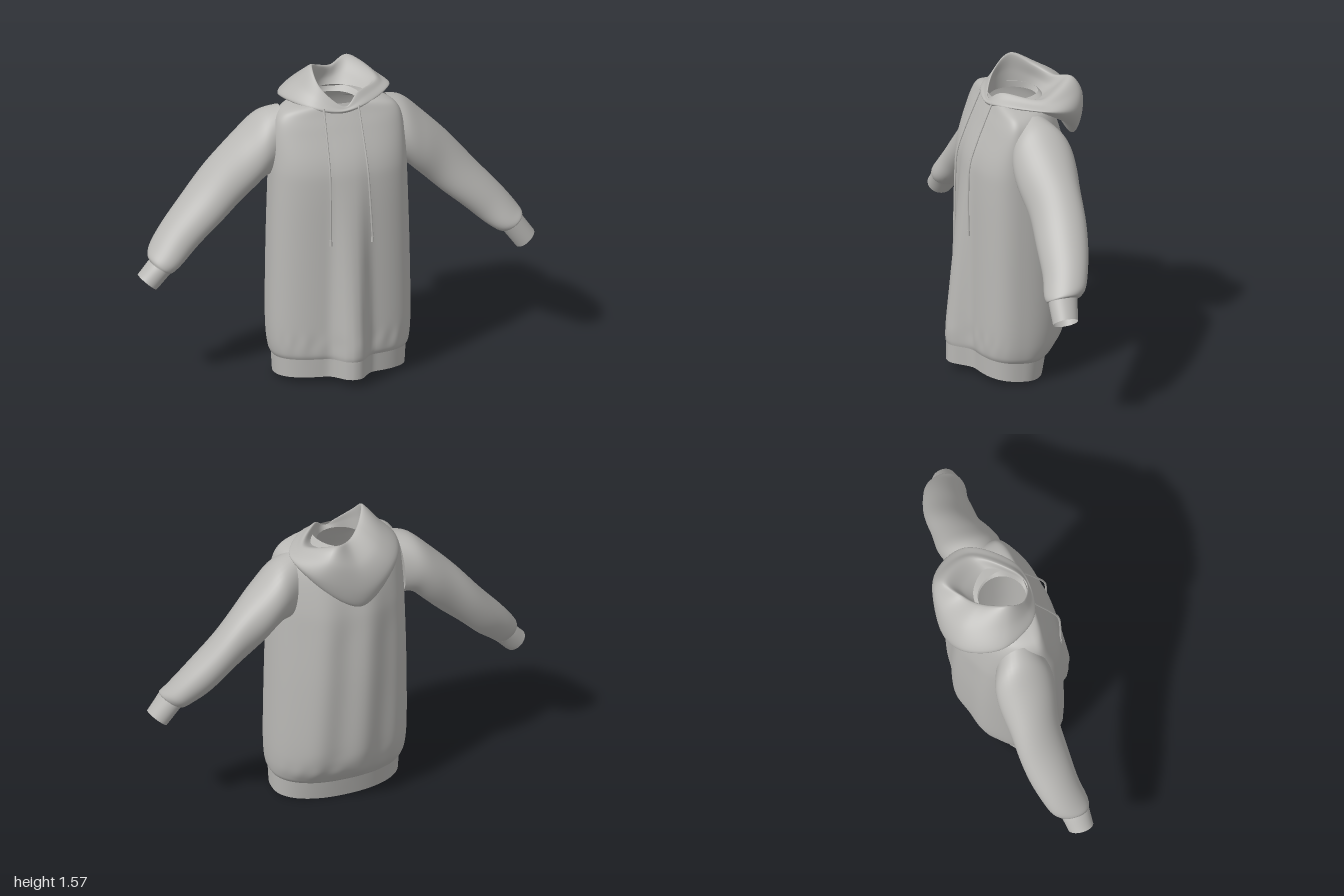
import * as THREE from 'three';

const cloth = new THREE.MeshStandardMaterial({ color: 0xb9b8b5, side: THREE.DoubleSide });
cloth.name = 'grey cloth';

const gauss = (x, s) => Math.exp(-(x * x) / (2 * s * s));
const spow = (v, p) => Math.sign(v) * Math.abs(v) ** p;
const mix = (a, b, t) => a.map((v, i) => v + (b[i] - v) * t);

// Smoothly samples a table of rows; t runs from 0 to 1
function sample(rows, t) {
  const f = t * (rows.length - 1);
  const i = Math.min(Math.floor(f), rows.length - 2);
  const u = f - i;
  const at = k => rows[Math.max(0, Math.min(rows.length - 1, k))];
  return rows[i].map((p1, c) => {
    const p0 = at(i - 1)[c], p2 = at(i + 1)[c], p3 = at(i + 2)[c];
    return p1 + 0.5 * u * (p2 - p0 + u * (2 * p0 - 5 * p1 + 4 * p2 - p3 + u * (3 * (p1 - p2) + p3 - p0)));
  });
}

// Skin over closed rings; point(t, angle) returns [x, y, z]
function loft(name, rows, cols, point) {
  const pos = [], index = [];
  for (let i = 0; i <= rows; i++)
    for (let j = 0; j < cols; j++) pos.push(...point(i / rows, (j / cols) * Math.PI * 2));
  for (let i = 0; i < rows; i++)
    for (let j = 0; j < cols; j++) {
      const a = i * cols + j, b = i * cols + (j + 1) % cols;
      index.push(a, b, b + cols, a, b + cols, a + cols);
    }
  const g = new THREE.BufferGeometry();
  g.setAttribute('position', new THREE.Float32BufferAttribute(pos, 3));
  g.setIndex(index);
  g.computeVertexNormals();
  const mesh = new THREE.Mesh(g, cloth);
  mesh.name = name;
  return mesh;
}

// Body rows: y, half width, side lobe z, centre fold z, back z
const BODY = [
  [0.10, 0.332, 0.24, 0.335, -0.14], [0.13, 0.345, 0.248, 0.34, -0.172],
  [0.21, 0.354, 0.25, 0.338, -0.225], [0.36, 0.356, 0.25, 0.325, -0.255],
  [0.70, 0.35, 0.247, 0.292, -0.268], [1.00, 0.341, 0.24, 0.256, -0.26],
  [1.14, 0.336, 0.222, 0.23, -0.245], [1.29, 0.324, 0.167, 0.17, -0.207],
  [1.365, 0.296, 0.135, 0.138, -0.172], [1.40, 0.235, 0.122, 0.122, -0.15],
  [1.42, 0.125, 0.115, 0.115, -0.13],
];
const HEM = [[0, 0.327, 0.235, 0.335, -0.12], BODY[0]];

function bodyPoint([y, half, lobe, fold, back], a) {
  const s = Math.sin(a), c = Math.cos(a), zc = 0.05;
  const n = c > 0 ? 2 / 2.7 : 2 / 2.2;
  const x = half * spow(s, n);
  let z = zc + (c > 0 ? lobe - zc : zc - back) * spow(c, n);
  // rounded centre fold at the front, soft vertical folds at the back
  if (c > 0) z += (fold - lobe) * Math.exp(-((Math.abs(x - 0.015) / 0.075) ** 3));
  const loose = Math.min(1, Math.max(0, (y - 0.1) / 0.2)) * Math.min(1, Math.max(0, (1.35 - y) / 0.4));
  if (c < 0) z += 0.009 * loose * c * Math.cos(x * 28 + y * 1.5);
  // gathers just above the hem
  z += c * 0.003 * gauss(y - 0.18, 0.035) * Math.sin(a * 20);
  // the hem dips towards the back
  const tilt = 0.045 * ((z + 0.12) / 0.455) * Math.max(0, 1 - y / 0.6);
  return [x + 0.006, y + Math.max(0, tilt), z];
}

// Sleeve rows: top x, top y, underside x, underside y, front z, back z
const SLEEVE = [
  [0.27, 1.385, 0.30, 1.04, 0.09, -0.15], [0.36, 1.352, 0.355, 1.03, 0.11, -0.182],
  [0.46, 1.265, 0.42, 0.97, 0.10, -0.185], [0.58, 1.14, 0.51, 0.89, 0.08, -0.172],
  [0.70, 1.005, 0.61, 0.80, 0.078, -0.155], [0.82, 0.87, 0.71, 0.712, 0.088, -0.13],
  [0.91, 0.76, 0.785, 0.655, 0.107, -0.092], [0.94, 0.718, 0.822, 0.632, 0.11, -0.06],
  [0.936, 0.70, 0.835, 0.635, 0.105, -0.04],
];
const CUFF = [SLEEVE.at(-1), [0.997, 0.613, 0.908, 0.538, 0.104, -0.022]];

// The upper edge of the sleeve leans back by the twist
function sleevePoint([tx, ty, bx, by, zf, zb], a, wrinkle, droop, twist) {
  const c = Math.cos(a) * (1 + wrinkle), s = Math.sin(a) * (1 + wrinkle);
  return [
    (tx + bx) / 2 + c * (tx - bx) / 2,
    (ty + by) / 2 + c * (ty - by) / 2 - droop,
    (zf + zb) / 2 + s * (zf - zb) / 2 - c * twist,
  ];
}

// Hood rings: front, front left, left, back left, back, back right, right, front right
const HOOD_WIDEST = [
  [0, 1.385, 0.14], [0.16, 1.41, 0.10], [0.305, 1.41, -0.09], [0.24, 1.36, -0.27],
  [0.02, 1.27, -0.335], [-0.17, 1.36, -0.28], [-0.25, 1.41, -0.10], [-0.16, 1.41, 0.09],
];
const HOOD_CREST = [
  [0.02, 1.405, 0.125], [0.10, 1.455, 0.075], [0.23, 1.45, -0.09], [0.14, 1.512, -0.255],
  [0.04, 1.492, -0.205], [-0.04, 1.525, -0.135], [-0.105, 1.572, -0.03], [-0.085, 1.49, 0.065],
];

function makeHood() {
  const ring = points => new THREE.CatmullRomCurve3(points.map(p => new THREE.Vector3(...p)), true, 'catmullrom', 0.5);
  const widest = ring(HOOD_WIDEST), crest = ring(HOOD_CREST);
  return loft('hood', 42, 80, (t, a) => {
    const u = a / (Math.PI * 2), s = Math.sin(a), c = Math.cos(a), b = Math.max(0, -c);
    const wide = widest.getPoint(u).toArray(), top = crest.getPoint(u).toArray();
    const neck = [0.118 * s, 1.385, 0.118 * c - 0.011];
    const tuck = [0.175 * s, 1.38 - 0.05 * b, 0.16 * c - 0.045];
    // the underside droops to a tip at the back
    const low = [wide[0] * 0.82, wide[1] - 0.02 - 0.08 * b, wide[2] * 0.88];
    const upper = mix(wide, top, 0.5);
    upper[1] += 0.025 * b;
    upper[2] -= 0.04 * b;
    return sample([tuck, low, wide, upper, top, mix(top, neck, 0.5), neck], t);
  });
}

// Drawstring with a small tip
function makeDrawstring(name, x0, x1) {
  const g = new THREE.Group();
  g.name = name;
  const path = [[1.405, 0.127], [1.32, 0.164], [1.22, 0.206], [1.1, 0.247], [0.95, 0.258], [0.76, 0.26]]
    .map(([y, z]) => new THREE.Vector3(x0 + (x1 - x0) * (1.405 - y) / 0.645, y, z));
  const cord = new THREE.Mesh(new THREE.TubeGeometry(new THREE.CatmullRomCurve3(path), 40, 0.005, 8), cloth);
  cord.name = 'cord';
  const tip = new THREE.Mesh(new THREE.CylinderGeometry(0.006, 0.008, 0.03, 10), cloth);
  tip.name = 'cordTip';
  tip.position.set(x1, 0.75, 0.26);
  g.add(cord, tip);
  return g;
}

export function createModel() {
  const model = new THREE.Group();
  model.name = 'hoodedSweatshirt';

  model.add(loft('body', 70, 144, (t, a) => bodyPoint(sample(BODY, t), a)));
  model.add(loft('hemBand', 6, 144, (t, a) => bodyPoint(sample(HEM, t), a)));

  // The right arm hangs a little lower
  for (const [side, droop] of [[1, 0], [-1, 0.045]]) {
    const arm = new THREE.Group();
    arm.name = side > 0 ? 'leftSleeve' : 'rightSleeve';
    arm.scale.x = side;
    arm.add(loft('sleeve', 48, 40, (t, a) => sleevePoint(sample(SLEEVE, t), a,
      0.02 * Math.sin(t * 20 + a * 2) * Math.sin(t * Math.PI), droop * t * t, 0.035 * Math.sin(t * Math.PI))));
    arm.add(loft('cuff', 6, 40, (t, a) => sleevePoint(sample(CUFF, t), a, 0, droop * (1 - t / 2), 0)));
    model.add(arm);
  }

  model.add(makeHood());
  model.add(makeDrawstring('rightDrawstring', -0.085, -0.085));
  model.add(makeDrawstring('leftDrawstring', 0.09, 0.125));
  return model;
}
